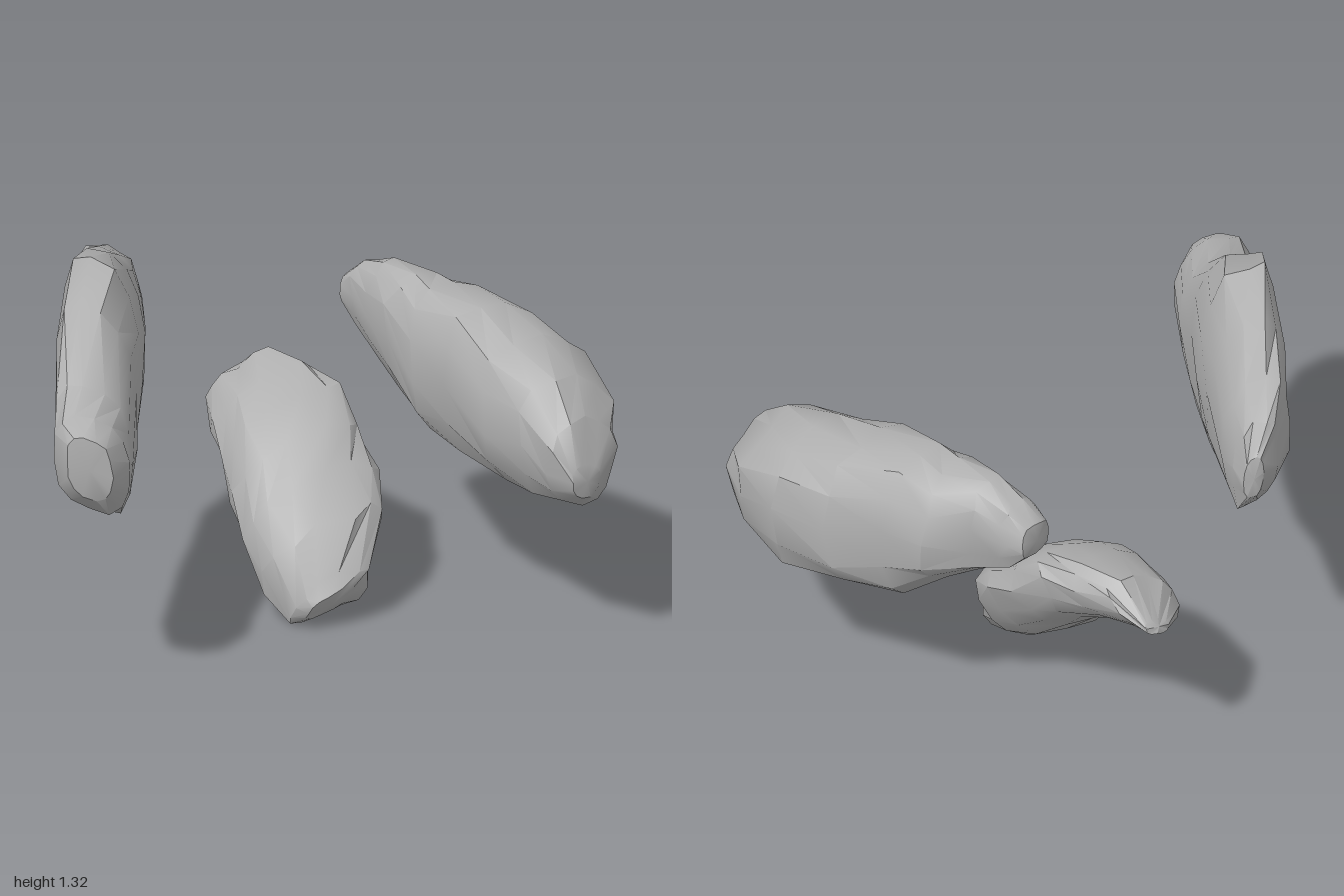
import * as THREE from 'three';
import { toCreasedNormals } from 'three/addons/utils/BufferGeometryUtils.js';

const SIDES = 14;

function seeded(seed) {
  return () => {
    seed = (seed * 16807) % 2147483647;
    return seed / 2147483647;
  };
}

// Lofts a chipped boulder through stations [s, u0, u1, v0, v1].
// u and v span the section, w is the long axis (opposite to u x v); skew leans the section.
function rockGeometry({ u, v, w, stations, skew, power, seed }) {
  const rand = seeded(seed);
  const pos = [];
  const index = [];
  const U = new THREE.Vector3(...u), V = new THREE.Vector3(...v), W = new THREE.Vector3(...w);
  const place = (a, b, s) => {
    const p = new THREE.Vector3().addScaledVector(U, a).addScaledVector(V, b).addScaledVector(W, s);
    return pos.push(p.x, p.y, p.z) / 3 - 1;
  };
  const round = (c) => Math.sign(c) * Math.pow(Math.abs(c), 2 / power);
  const upright = Math.sqrt(1 - skew * skew);

  stations.forEach(([s, u0, u1, v0, v1], i) => {
    const end = i === 0 || i === stations.length - 1;
    for (let j = 0; j < SIDES; j++) {
      const t = ((j + (i % 2) * 0.4) / SIDES) * Math.PI * 2;
      const dent = 1 - 0.09 * rand();
      const a = round(Math.cos(t));
      const b = THREE.MathUtils.clamp(round(Math.sin(t)) * upright + skew * a, -1, 1);
      place((u0 + u1) / 2 + (a * dent * (u1 - u0)) / 2,
        (v0 + v1) / 2 + (b * dent * (v1 - v0)) / 2,
        s + (end ? 0.01 : 0.05) * (rand() - 0.5));
    }
  });

  const last = stations.length - 1;
  for (let i = 0; i < last; i++) {
    for (let j = 0; j < SIDES; j++) {
      const a = i * SIDES + j, b = i * SIDES + ((j + 1) % SIDES);
      const c = a + SIDES, d = b + SIDES;
      index.push(a, c, b, b, c, d);
    }
  }
  // End caps
  for (const i of [0, last]) {
    const [s, u0, u1, v0, v1] = stations[i];
    const centre = place((u0 + u1) / 2, (v0 + v1) / 2, s + (i === 0 ? -0.01 : 0.01));
    for (let j = 0; j < SIDES; j++) {
      const a = i * SIDES + j, b = i * SIDES + ((j + 1) % SIDES);
      if (i === 0) index.push(centre, a, b);
      else index.push(centre, b, a);
    }
  }
  const geo = new THREE.BufferGeometry();
  geo.setAttribute('position', new THREE.Float32BufferAttribute(pos, 3));
  geo.setIndex(index);
  return toCreasedNormals(geo, 0.55);
}

const rocks = {
  // Upright slab running diagonally
  slabRock: {
    u: [0.76, 0, 0.65], v: [0, 1, 0], w: [0.65, 0, -0.76], skew: -0.25, power: 2.5, seed: 17,
    stations: [
      [-0.81, -0.66, -0.5, 0.72, 0.95],
      [-0.73, -0.71, -0.45, 0.65, 1.0],
      [-0.55, -0.72, -0.45, 0.58, 1.05],
      [-0.3, -0.73, -0.45, 0.57, 1.25],
      [-0.08, -0.73, -0.45, 0.58, 1.33],
      [0.15, -0.73, -0.46, 0.67, 1.27],
      [0.38, -0.72, -0.48, 0.71, 1.19],
      [0.53, -0.66, -0.5, 0.76, 1.13],
      [0.61, -0.6, -0.53, 0.86, 1.03],
    ],
  },
  // Low rock climbing towards the back
  tiltedRock: {
    u: [1, 0, 0], v: [0, 0.86, 0.5], w: [0, 0.5, -0.86], skew: 0.45, power: 2.5, seed: 91,
    stations: [
      [-0.07, 0.02, 0.2, 0.08, 0.2],
      [-0.03, -0.01, 0.29, 0.01, 0.24],
      [0.13, -0.03, 0.42, 0, 0.34],
      [0.3, 0, 0.48, 0.01, 0.37],
      [0.45, 0.03, 0.51, 0.05, 0.39],
      [0.62, 0.09, 0.54, 0.08, 0.4],
      [0.76, 0.14, 0.51, 0.07, 0.35],
      [0.9, 0.23, 0.5, 0.04, 0.27],
      [0.99, 0.37, 0.47, 0.05, 0.11],
    ],
  },
  // Long rounded rock pointing to the front
  longRock: {
    u: [1, 0, 0], v: [0, 1, 0], w: [0, 0, -1], skew: -0.08, power: 2.4, seed: 53,
    stations: [
      [-0.83, 0.59, 0.71, 0.55, 0.67],
      [-0.75, 0.55, 0.83, 0.49, 0.81],
      [-0.62, 0.52, 0.93, 0.46, 0.91],
      [-0.4, 0.52, 1.0, 0.445, 0.99],
      [-0.2, 0.52, 0.96, 0.47, 1.05],
      [0, 0.52, 0.91, 0.49, 1.06],
      [0.15, 0.53, 0.88, 0.61, 1.06],
      [0.3, 0.58, 0.79, 0.69, 1.06],
      [0.42, 0.59, 0.76, 0.76, 1.03],
      [0.49, 0.6, 0.74, 0.83, 0.96],
    ],
  },
};

export function createModel() {
  const group = new THREE.Group();
  group.name = 'rocks';
  const stone = new THREE.MeshStandardMaterial({ color: 0xb0b0b0 });
  stone.name = 'stone grey';
  for (const [name, spec] of Object.entries(rocks)) {
    const mesh = new THREE.Mesh(rockGeometry(spec), stone);
    mesh.name = name;
    group.add(mesh);
  }
  return group;
}
